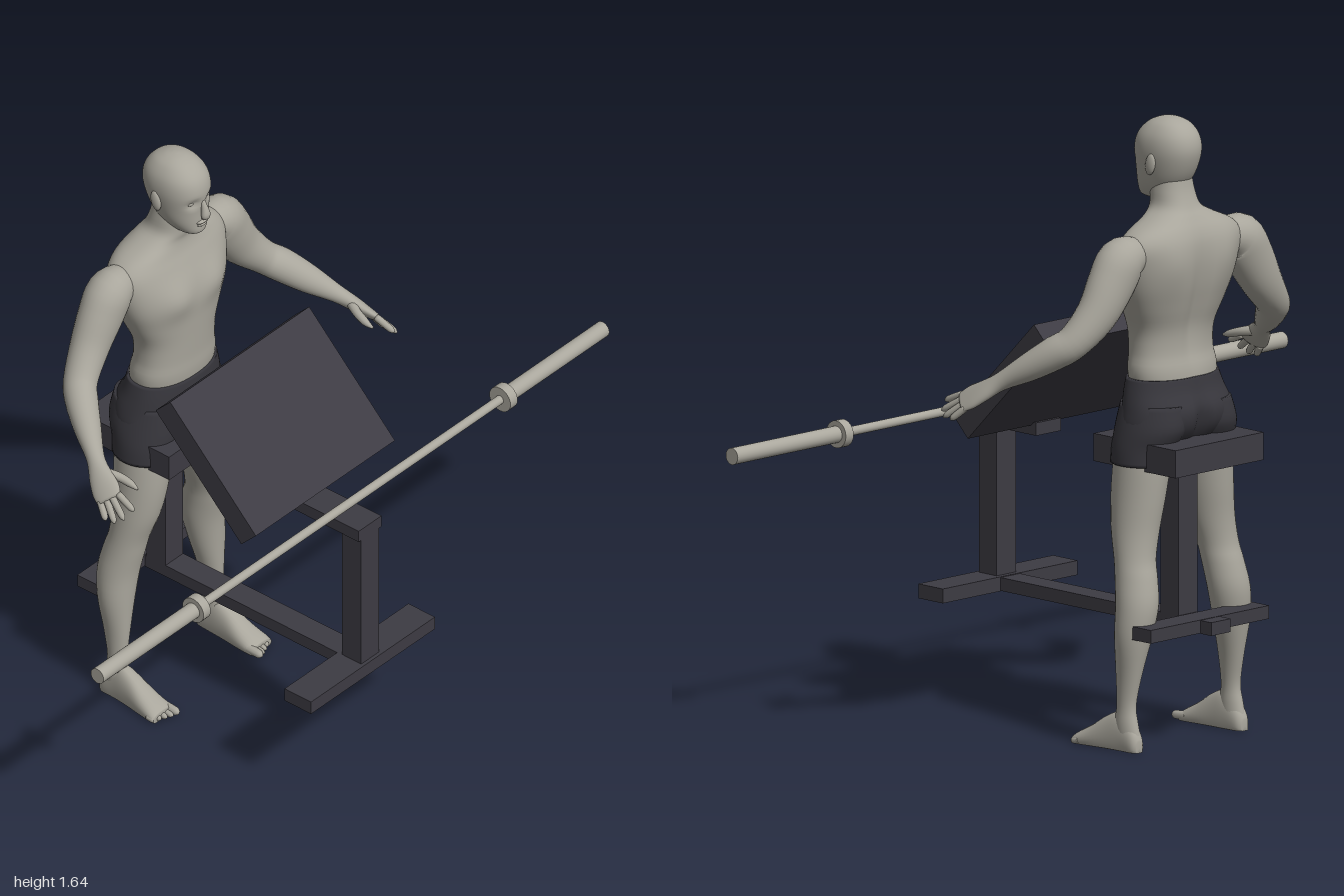
import * as THREE from 'three';

const mat = (name, color) => {
  const m = new THREE.MeshStandardMaterial({ color });
  m.name = name;
  return m;
};

// Catmull-Rom resampling of rows of numbers
function smooth(rows, n = 4) {
  const out = [];
  for (let i = 0; i < rows.length - 1; i++) {
    const a = rows[Math.max(i - 1, 0)], b = rows[i], c = rows[i + 1], d = rows[Math.min(i + 2, rows.length - 1)];
    for (let k = 0; k < n; k++) {
      const t = k / n;
      out.push(b.map((v, j) => {
        const quad = 2 * a[j] - 5 * v + 4 * c[j] - d[j], cubic = 3 * (v - c[j]) + d[j] - a[j];
        return v + 0.5 * t * (c[j] - a[j] + t * (quad + t * cubic));
      }));
    }
  }
  out.push(rows[rows.length - 1]);
  return out;
}

// Closed skin over rings of points, always facing outward
function loft(rings) {
  const n = rings[0].length, m = rings.length, pts = rings.flat(), idx = [];
  for (let i = 0; i < m - 1; i++) for (let j = 0; j < n; j++) {
    const a = i * n + j, b = i * n + (j + 1) % n;
    idx.push(a, a + n, b, b, a + n, b + n);
  }
  for (const [r, end] of [[0, false], [m - 1, true]]) {
    const c = new THREE.Vector3();
    rings[r].forEach(p => c.addScaledVector(p, 1 / n));
    pts.push(c);
    for (let j = 0; j < n; j++) {
      const a = r * n + j, b = r * n + (j + 1) % n;
      idx.push(pts.length - 1, end ? b : a, end ? a : b);
    }
  }
  // The cap order above matches the side faces; flip all if the volume is negative
  let volume = 0;
  const mid = pts[pts.length - 1], v = k => pts[k].clone().sub(mid);
  for (let i = 0; i < idx.length; i += 3) volume += v(idx[i]).dot(v(idx[i + 1]).cross(v(idx[i + 2])));
  if (volume < 0) idx.reverse();
  const g = new THREE.BufferGeometry().setFromPoints(pts);
  g.setIndex(idx);
  g.computeVertexNormals();
  return g;
}

const angles = n => Array.from({ length: n }, (_, j) => j / n * Math.PI * 2);
const pw = (v, e) => Math.sign(v) * Math.abs(v) ** e;
const bump = (d, w) => Math.exp(-((d / w) ** 2));

// Horizontal sections: [y, xMin, xMax, zFront, zBack], with an optional surface rule
function stack(rows, { n = 40, e = 0.9, steps = 4, rule } = {}) {
  return loft(smooth(rows, steps).map(([y, x0, x1, zf, zb]) => angles(n).map(a => {
    const p = new THREE.Vector3((x0 + x1) / 2 + (x1 - x0) / 2 * pw(Math.cos(a), e), y,
      (zf + zb) / 2 + (zf - zb) / 2 * pw(Math.sin(a), e));
    if (rule) rule(p, Math.sin(a));
    return p;
  })));
}
const symmetric = rows => rows.map(([y, r, zf, zb]) => [y, -r, r, zf, zb]);

// Limb along a path: [x, y, z, radiusA, radiusB]; radiusA lies towards ref
function limb(rows, n = 20, ref = new THREE.Vector3(1, 1, 0)) {
  const s = smooth(rows), at = i => new THREE.Vector3(...s[Math.min(Math.max(i, 0), s.length - 1)].slice(0, 3));
  return loft(s.map((r, i) => {
    const t = at(i + 1).sub(at(i - 1)).normalize();
    const A = ref.clone().addScaledVector(t, -ref.dot(t)).normalize(), B = t.clone().cross(A);
    return angles(n).map(a => at(i).addScaledVector(A, Math.cos(a) * r[3]).addScaledVector(B, Math.sin(a) * r[4]));
  }));
}

// Finger or toe with a rounded tip
function digit(from, to, r) {
  const p = t => from.map((v, i) => v + (to[i] - v) * t);
  return limb([[...p(0), r, r], [...p(0.5), r, r], [...p(0.85), r * 0.85, r * 0.85], [...p(1), r * 0.2, r * 0.2]], 10);
}

export function createModel() {
  const model = new THREE.Group();
  const skin = mat('paleGrey', 0xa9a69c), steel = mat('barGrey', 0xaaa79d);
  const frame = mat('frameCharcoal', 0x3d3b43), cloth = mat('shortsCharcoal', 0x37363c);
  const add = (name, geo, m, parent) => {
    const mesh = new THREE.Mesh(geo, m);
    mesh.name = name;
    parent.add(mesh);
    return mesh;
  };
  const group = name => {
    const g = new THREE.Group();
    g.name = name;
    model.add(g);
    return g;
  };

  // Bench frame: box by half width, y range and z range
  const bench = group('bench');
  const box = (name, hx, y0, y1, z0, z1) => add(name, new THREE.BoxGeometry(hx * 2, y1 - y0, z1 - z0), frame, bench)
    .position.set(0, (y0 + y1) / 2, (z0 + z1) / 2);
  box('frontFoot', 0.245, 0.3, 0.338, 0.34, 0.43);
  box('rearFoot', 0.215, 0.302, 0.337, -0.39, -0.315);
  box('floorBeam', 0.035, 0.301, 0.336, -0.43, 0.35);
  box('frontPost', 0.035, 0.33, 0.74, 0.355, 0.42);
  box('seatPost', 0.035, 0.33, 0.74, -0.31, -0.245);
  box('barRest', 0.045, 0.733, 0.767, 0.2, 0.42);
  box('seat', 0.16, 0.735, 0.808, -0.425, -0.125);
  const pad = add('armPad', new THREE.BoxGeometry(0.55, 0.41, 0.07), frame, bench);
  pad.position.set(0, 0.927, 0.098);
  pad.rotation.x = -0.79;

  // Barbell
  const bar = group('barbell');
  bar.position.set(0, 0.802, 0.352);
  const rod = (name, r, len, x) => {
    const m = add(name, new THREE.CylinderGeometry(r, r, len, 24), steel, bar);
    m.rotation.z = Math.PI / 2;
    m.position.x = x;
  };
  rod('shaft', 0.012, 1.24, 0);
  for (const s of [-1, 1]) {
    rod('collar', 0.036, 0.028, s * 0.607);
    rod('sleeve', 0.022, 0.38, s * 0.81);
  }

  // Torso and neck, with chest, spine groove and shoulder blades
  const man = group('figure');
  add('torso', stack(symmetric([
    [0.86, 0.11, -0.19, -0.33], [0.97, 0.134, -0.17, -0.335], [1.03, 0.127, -0.168, -0.325], [1.09, 0.13, -0.165, -0.328],
    [1.15, 0.155, -0.162, -0.345], [1.21, 0.18, -0.16, -0.36], [1.27, 0.196, -0.17, -0.367], [1.32, 0.2, -0.187, -0.365],
    [1.355, 0.17, -0.2, -0.355], [1.385, 0.105, -0.205, -0.338], [1.41, 0.066, -0.2, -0.322], [1.45, 0.056, -0.198, -0.307],
    [1.49, 0.05, -0.2, -0.3]]), {
    n: 64, rule: (p, side) => {
      const x = Math.abs(p.x);
      if (side > 0) p.z += side * 0.014 * bump(x - 0.075, 0.055) * bump(p.y - 1.235, 0.045);
      else p.z += side * 0.008 * bump(x - 0.1, 0.05) * bump(p.y - 1.27, 0.07) - side * 0.016 * bump(x, 0.025) * bump(p.y - 1.16, 0.16);
    }
  }), skin, man);

  // Head with eye sockets, nose and lips
  add('head', stack(symmetric([
    [1.422, 0.022, -0.16, -0.22], [1.432, 0.038, -0.149, -0.25], [1.46, 0.056, -0.148, -0.287], [1.5, 0.067, -0.147, -0.314],
    [1.55, 0.074, -0.143, -0.33], [1.59, 0.069, -0.153, -0.325], [1.62, 0.051, -0.18, -0.303], [1.635, 0.028, -0.21, -0.273],
    [1.64, 0.005, -0.235, -0.248]]), {
    n: 64, steps: 6, rule: (p, side) => {
      if (side > 0) p.z -= 0.011 * bump(Math.abs(p.x) - 0.03, 0.016) * bump(p.y - 1.527, 0.011);
    }
  }), skin, man);
  add('nose', limb([[0, 1.54, -0.155, 0.005, 0.005], [0, 1.51, -0.143, 0.009, 0.009], [0, 1.486, -0.138, 0.014, 0.011],
    [0, 1.475, -0.145, 0.008, 0.006]], 16, new THREE.Vector3(1, 0, 0)), skin, man);
  const blob = (name, x, y, z, sx, sy, sz) => {
    const m = add(name, new THREE.SphereGeometry(1, 16, 12), skin, man);
    m.position.set(x, y, z);
    m.scale.set(sx, sy, sz);
    return m;
  };
  blob('upperLip', 0, 1.464, -0.149, 0.022, 0.005, 0.009);
  blob('lowerLip', 0, 1.455, -0.15, 0.018, 0.005, 0.008);

  // Shorts: hips with a cleft at the back
  add('shortsHips', stack(symmetric([
    [0.965, 0.139, -0.165, -0.34], [0.93, 0.15, -0.163, -0.35], [0.885, 0.163, -0.163, -0.372], [0.84, 0.17, -0.166, -0.366],
    [0.8, 0.155, -0.185, -0.335], [0.785, 0.1, -0.21, -0.31]]), {
    n: 64, rule: (p, side) => { if (side < 0) p.z -= side * 0.022 * bump(p.x, 0.02) * bump(p.y - 0.85, 0.06); }
  }), cloth, man);

  for (const s of [-1, 1]) {
    const side = s > 0 ? 'left' : 'right';
    const flip = rows => rows.map(([x, ...rest]) => [s * x, ...rest]);
    const part = (name, geo, m = skin) => add(side + name, geo, m, man);
    blob(side + 'Ear', s * 0.073, 1.522, -0.245, 0.009, 0.029, 0.016).rotation.x = -0.2;
    blob(side + 'Eye', s * 0.03, 1.527, -0.167, 0.012, 0.008, 0.01);

    // Leg and shorts leg
    const leg = rows => rows.map(([y, a, b, zf, zb]) => [y, s * a, s * b, zf, zb]);
    part('Leg', stack(leg([
      [0.8, 0.025, 0.176, -0.175, -0.335], [0.73, 0.043, 0.184, -0.174, -0.333], [0.65, 0.058, 0.191, -0.177, -0.327],
      [0.57, 0.076, 0.198, -0.19, -0.32], [0.5, 0.095, 0.205, -0.212, -0.322], [0.45, 0.102, 0.212, -0.222, -0.335],
      [0.38, 0.11, 0.223, -0.235, -0.347], [0.3, 0.128, 0.228, -0.24, -0.338], [0.2, 0.155, 0.216, -0.243, -0.318],
      [0.12, 0.167, 0.212, -0.247, -0.304], [0.07, 0.166, 0.215, -0.24, -0.313], [0.03, 0.166, 0.214, -0.24, -0.322],
      [0, 0.172, 0.208, -0.25, -0.315]]), { n: 32, e: 1 }));
    part('ShortsLeg', stack(leg([
      [0.9, 0.01, 0.155, -0.17, -0.36], [0.84, 0.008, 0.174, -0.164, -0.367], [0.79, 0.022, 0.185, -0.166, -0.345],
      [0.745, 0.036, 0.189, -0.169, -0.338]]), { n: 32, e: 1 }), cloth);

    // Foot: arched sections [z, xMin, xMax, height] with a flat sole
    const footRows = smooth([
      [-0.325, 0.18, 0.203, 0.03], [-0.31, 0.168, 0.214, 0.06], [-0.265, 0.163, 0.217, 0.1], [-0.22, 0.16, 0.222, 0.088],
      [-0.17, 0.155, 0.23, 0.056], [-0.13, 0.153, 0.235, 0.034], [-0.115, 0.156, 0.233, 0.024]]);
    part('Foot', loft(footRows.map(([z, a, b, h]) => angles(24).map(t => {
      const x = (a + b) / 2 + (b - a) / 2 * pw(Math.cos(t), 0.8);
      return new THREE.Vector3(s * x, Math.max(0, h * (0.35 + 0.65 * Math.sin(t))), z);
    }))));
    for (let i = 0; i < 5; i++) {
      const x = s * (0.165 + i * 0.0158), r = i ? 0.0085 : 0.012;
      part('Toe', digit([x, r + 0.003, -0.14], [x, r, -0.087 - i * 0.007], r));
    }

    // Arm and palm
    part('Arm', limb(flip([
      [0.16, 1.305, -0.28, 0.045, 0.045], [0.213, 1.293, -0.28, 0.064, 0.06], [0.25, 1.24, -0.28, 0.067, 0.057],
      [0.3, 1.165, -0.276, 0.057, 0.05], [0.36, 1.1, -0.255, 0.045, 0.045], [0.395, 1.07, -0.22, 0.045, 0.043],
      [0.435, 1.03, -0.165, 0.038, 0.035], [0.475, 0.99, -0.105, 0.024, 0.024], [0.5, 0.962, -0.065, 0.019, 0.033],
      [0.515, 0.943, -0.035, 0.015, 0.039], [0.528, 0.928, -0.012, 0.01, 0.034]]), 28, new THREE.Vector3(s, 1, 0)));

    // Fingers and thumb
    const fingers = [[0.51, 0.945, 0.003, 0.515, 0.921, 0.06], [0.52, 0.936, -0.01, 0.54, 0.9, 0.048],
      [0.528, 0.927, -0.022, 0.553, 0.887, 0.028], [0.537, 0.918, -0.035, 0.556, 0.885, 0]];
    for (const [x, y, z, tx, ty, tz] of fingers) part('Finger', digit([s * x, y, z], [s * tx, ty, tz], 0.0095));
    part('Thumb', limb(flip([[0.492, 0.972, -0.07, 0.014, 0.016], [0.472, 0.965, -0.03, 0.012, 0.012],
      [0.465, 0.955, 0.005, 0.01, 0.01], [0.465, 0.948, 0.03, 0.003, 0.003]]), 12));
  }
  return model;
}
